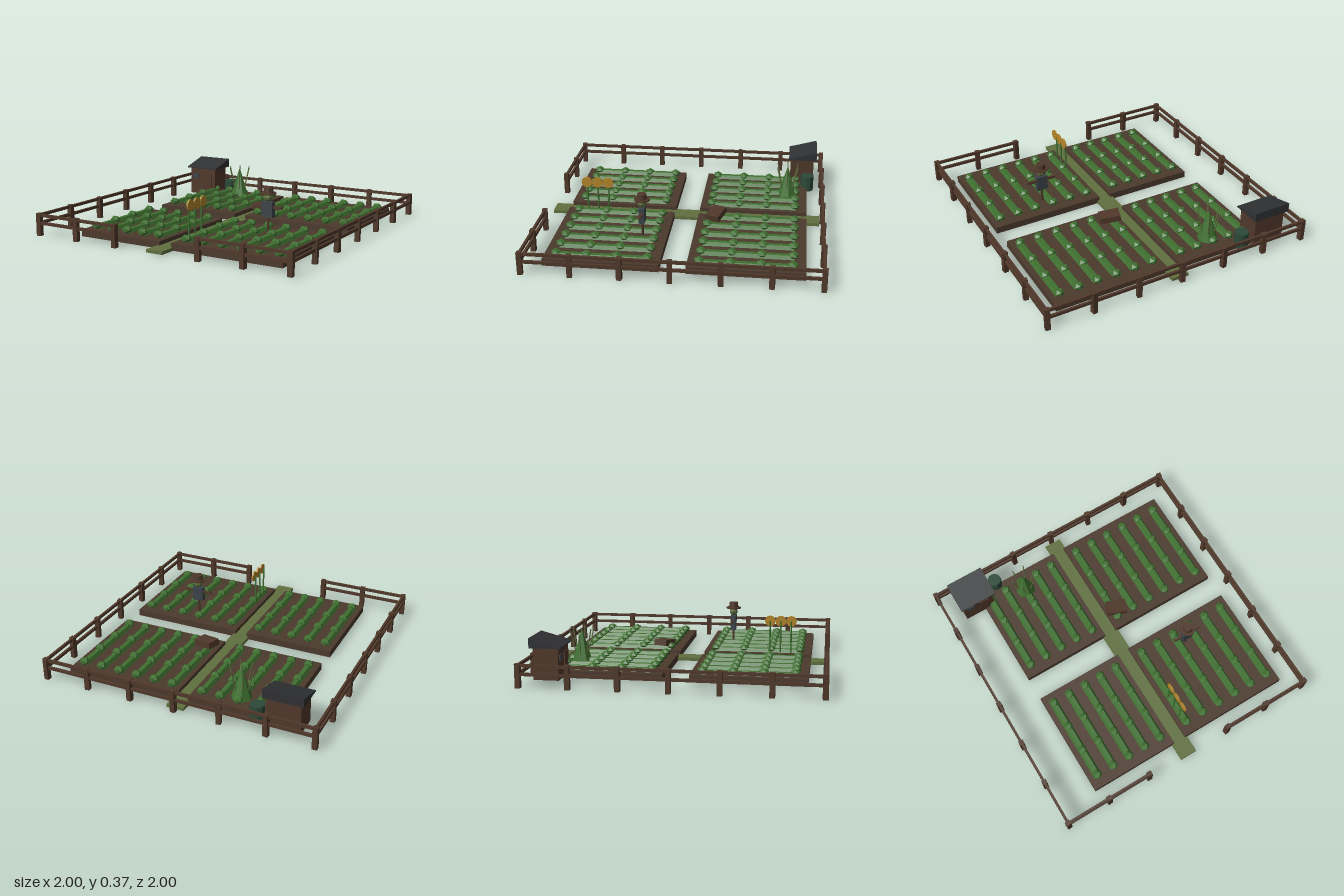
import * as THREE from 'three';

const mat = (name, color) => {
  const m = new THREE.MeshStandardMaterial({ color, flatShading: true });
  m.name = name;
  return m;
};

export function createModel() {
  const soil = mat('soil', 0x4c3a2d);
  const wood = mat('wood', 0x50382a);
  const moss = mat('mossy path', 0x60703f);
  const leaf = mat('leaf green', 0x3f7030);
  const roofing = mat('roof charcoal', 0x303133);
  const barrelGreen = mat('barrel green', 0x2c4a38);
  const slate = mat('slate cloth', 0x3b444a);
  const gold = mat('flower gold', 0xb5862a);

  const garden = new THREE.Group();
  garden.name = 'garden';
  const group = (name, x = 0, y = 0, z = 0) => {
    const g = new THREE.Group();
    g.name = name;
    g.position.set(x, y, z);
    garden.add(g);
    return g;
  };
  const add = (parent, name, geometry, material, x = 0, y = 0, z = 0) => {
    const m = new THREE.Mesh(geometry, material);
    m.name = name;
    m.position.set(x, y, z);
    parent.add(m);
    return m;
  };
  const box = (w, h, d) => new THREE.BoxGeometry(w, h, d);
  const cyl = (a, b, h, n) => new THREE.CylinderGeometry(a, b, h, n);

  // Fence: posts every sixth of a side, two rails, gateway at the front
  const fence = group('fence');
  const E = 0.98, step = E / 3;
  const postGeo = box(0.034, 0.16, 0.034);
  let count = 0;
  const post = (x, z) => {
    const p = add(fence, 'fencePost', postGeo, wood, x, 0.08, z);
    p.rotation.y = 0.15 * Math.sin(count++ * 2.3);
  };
  for (let i = -3; i <= 3; i++) {
    post(i * step, -E);
    if (i !== 0 && Math.abs(i) < 4 && Math.abs(i) >= 1) post(i * step, E);
    if (Math.abs(i) < 3) [-E, E].forEach(x => post(x, i * step));
  }
  for (const y of [0.09, 0.146]) {
    add(fence, 'backRail', box(2 * E, 0.02, 0.017), wood, 0, y, -E);
    for (const s of [-1, 1]) {
      add(fence, 'sideRail', box(0.017, 0.02, 2 * E), wood, s * E, y, 0);
      add(fence, 'frontRail', box(2 * step, 0.02, 0.017), wood, s * 2 * step, y, E);
    }
  }

  // Path down the middle
  add(garden, 'path', box(0.125, 0.022, 1.95), moss, 0, 0.017, 0.015);

  // Four beds with planted rows
  const rowGeo = cyl(0.03, 0.03, 0.62, 6).rotateY(Math.PI / 6).rotateX(Math.PI / 2);
  const plantGeo = new THREE.IcosahedronGeometry(0.036, 0).scale(1, 0.8, 1);
  const halves = [
    { x0: -0.7, x1: -0.045, rows: [-0.633, -0.503, -0.372, -0.242, -0.111] },
    { x0: 0.045, x1: 0.867, rows: [0.111, 0.249, 0.387, 0.525, 0.663, 0.801] },
  ];
  for (const s of [-1, 1]) for (const { x0, x1, rows } of halves) {
    const bed = group('gardenBed');
    add(bed, 'soilBed', box(x1 - x0, 0.049, 0.778), soil, (x0 + x1) / 2, 0.0305, s * 0.478);
    for (const x of rows) {
      add(bed, 'cropRow', rowGeo, leaf, x, 0.054, s * 0.478);
      for (const z of [0.17, 0.375, 0.575, 0.782]) {
        add(bed, 'cropPlant', plantGeo, leaf, x, 0.076, s * z);
      }
    }
  }

  // Shed with a lean-to roof
  const shed = group('shed', -0.742, 0, -0.83);
  add(shed, 'shedWalls', box(0.236, 0.217, 0.17), wood, 0, 0.1335, 0);
  add(shed, 'shedDoor', box(0.075, 0.15, 0.009), wood, 0.045, 0.117, 0.0885);
  add(shed, 'shedWindow', box(0.055, 0.038, 0.008), slate, -0.065, 0.172, 0.088);
  const wedge = new THREE.Shape([[-0.106, 0.24], [0.106, 0.24], [0.106, 0.248], [-0.106, 0.306]]
    .map(p => new THREE.Vector2(...p)));
  const roofGeo = new THREE.ExtrudeGeometry(wedge, { depth: 0.278, bevelEnabled: false })
    .translate(0, 0, -0.139).rotateY(-Math.PI / 2);
  add(shed, 'shedRoof', roofGeo, roofing);

  // Water barrel beside the shed
  const barrel = group('barrel', -0.547, 0, -0.87);
  add(barrel, 'barrelBody', cyl(0.05, 0.05, 0.115, 9), barrelGreen, 0, 0.085, 0);

  // Climbing plant with outward-leaning stakes
  const climber = group('climbingPlant', -0.37, 0, -0.718);
  add(climber, 'climberFoliage', new THREE.ConeGeometry(0.072, 0.23, 7), leaf, 0, 0.17, 0);
  for (let i = 0; i < 6; i++) {
    const a = i * Math.PI / 3;
    const low = new THREE.Vector3(Math.cos(a) * 0.03, 0.055, Math.sin(a) * 0.03);
    const high = new THREE.Vector3(Math.cos(a) * 0.088, 0.287, Math.sin(a) * 0.088);
    const dir = high.clone().sub(low);
    const stake = add(climber, 'stake', cyl(0.004, 0.004, dir.length(), 5), moss);
    stake.position.copy(low).add(high).multiplyScalar(0.5);
    stake.quaternion.setFromUnitVectors(new THREE.Vector3(0, 1, 0), dir.normalize());
  }

  // Three tall flowers facing sideways
  for (const z of [0.565, 0.642, 0.718]) {
    const flower = group('tallFlower', 0, 0, z);
    add(flower, 'flowerStem', cyl(0.006, 0.006, 0.235, 6), leaf, 0.088, 0.17, 0);
    add(flower, 'flowerHead', cyl(0.039, 0.039, 0.012, 12).rotateZ(Math.PI / 2), gold, 0.102, 0.286, 0);
  }

  // Tipped crate by the path
  const crate = add(garden, 'crate', box(0.147, 0.045, 0.1), wood, 0.13, 0.1, -0.22);
  crate.rotation.set(0, -0.33, -0.13);

  // Scarecrow
  const scarecrow = group('scarecrow', 0.433, 0, 0.262);
  add(scarecrow, 'pole', cyl(0.009, 0.009, 0.24, 6), wood, 0, 0.16, 0);
  add(scarecrow, 'torso', box(0.082, 0.108, 0.04), slate, 0, 0.21, 0);
  add(scarecrow, 'arms', box(0.215, 0.018, 0.018), wood, 0, 0.228, 0);
  add(scarecrow, 'head', new THREE.SphereGeometry(0.031, 8, 6), moss, 0, 0.295, 0);
  add(scarecrow, 'hatBrim', cyl(0.055, 0.055, 0.01, 10), wood, 0, 0.322, 0);
  add(scarecrow, 'hatCrown', cyl(0.032, 0.036, 0.04, 10), wood, 0, 0.345, 0);

  return garden;
}
